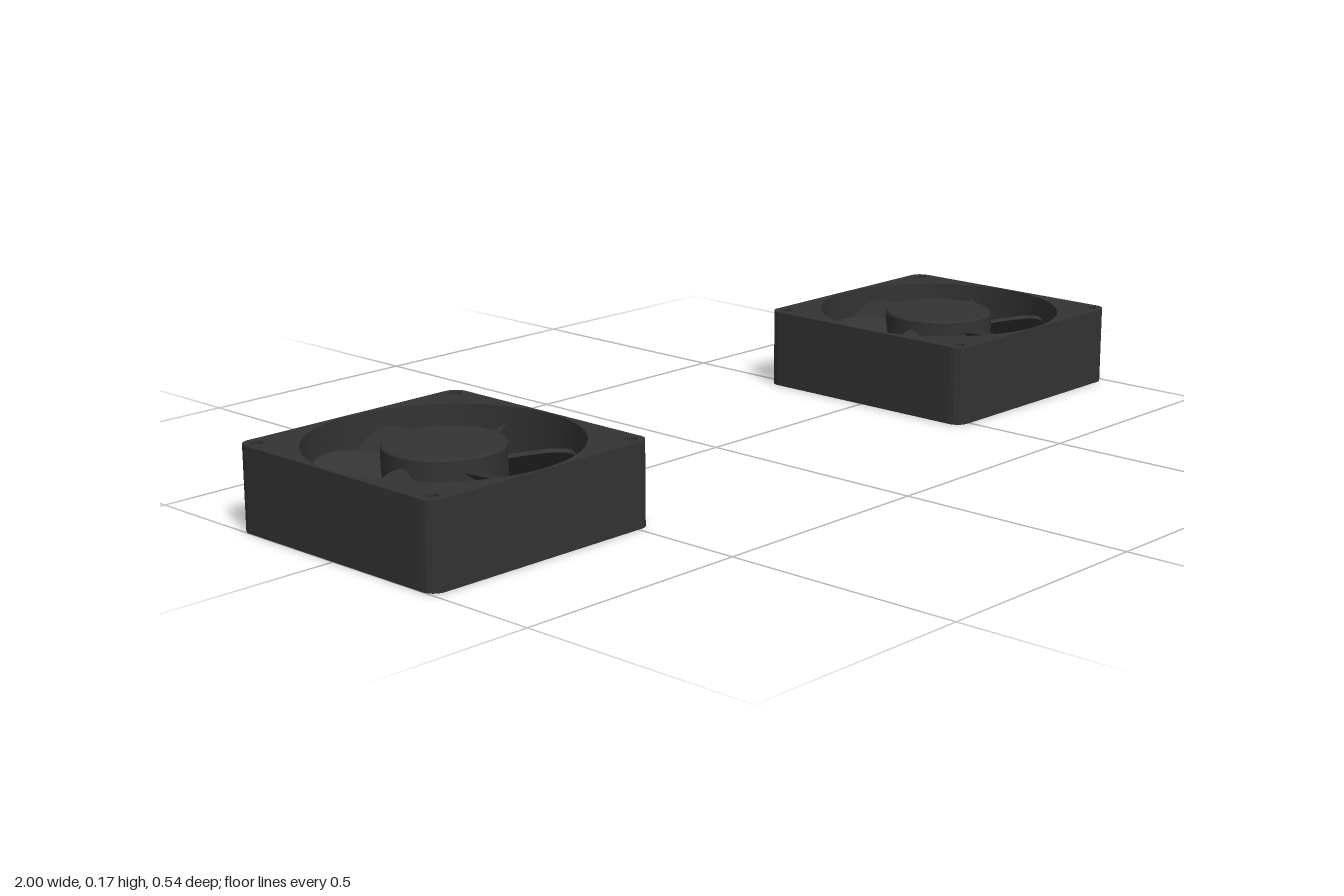
import * as THREE from 'three';
import { toCreasedNormals } from 'three/addons/utils/BufferGeometryUtils.js';

const HALF = 0.2675, HEIGHT = 0.167, BORE = 0.262, HUB = 0.117;
const BLADE_TILT = 0.68;

const plastic = new THREE.MeshStandardMaterial({ color: 0x333333 });

function part(name, geometry) {
  const mesh = new THREE.Mesh(geometry, plastic);
  mesh.name = name;
  return mesh;
}

// Extrudes a plan-view outline (shape y points to -z) upwards from y = 0
function extrudeUp(shape, depth, curveSegments) {
  const g = new THREE.ExtrudeGeometry(shape, { depth, bevelEnabled: false, curveSegments });
  g.rotateX(-Math.PI / 2);
  return toCreasedNormals(g, 0.6);
}

// Square housing with rounded corners, round duct and four screw holes
function frameGeometry() {
  const s = new THREE.Shape(), r = 0.028, c = HALF - r;
  s.absarc(c, c, r, 0, Math.PI / 2);
  s.absarc(-c, c, r, Math.PI / 2, Math.PI);
  s.absarc(-c, -c, r, Math.PI, Math.PI * 1.5);
  s.absarc(c, -c, r, Math.PI * 1.5, Math.PI * 2);
  s.closePath();
  const hole = (x, y, radius) => s.holes.push(new THREE.Path().absarc(x, y, radius, 0, Math.PI * 2, true));
  hole(0, 0, BORE);
  for (const x of [-1, 1]) for (const y of [-1, 1]) hole(x * 0.241, y * 0.241, 0.0125);
  return extrudeUp(s, HEIGHT, 32);
}

// Pitched blade: straight low edge, bulging high edge with a rounded tip
function bladeGeometry() {
  const stretch = 1 / Math.cos(BLADE_TILT);
  const w = 0.053 * stretch;
  const s = new THREE.Shape();
  s.moveTo(-w, 0.085);
  s.lineTo(w * 0.75, 0.085);
  s.quadraticCurveTo(w, 0.14, w, 0.185);
  s.bezierCurveTo(w, 0.22, w * 0.75, 0.243, w * 0.3, 0.243);
  s.lineTo(-w, 0.24);
  s.closePath();
  const g = extrudeUp(s, 0.008, 10);
  g.translate(0, -0.004, 0);
  g.rotateZ(BLADE_TILT);
  g.translate(0, 0.104, 0);
  return g;
}

// Turned solid from [radius, height] points with crisp edges
function turned(points) {
  const g = new THREE.LatheGeometry(points.map(([x, y]) => new THREE.Vector2(x, y)), 64);
  return toCreasedNormals(g, 0.6);
}

function createFan(geo) {
  const fan = new THREE.Group();
  fan.add(part('frame', geo.frame), part('motorBase', geo.base));

  // Four diagonal struts carry the motor base
  for (let i = 0; i < 4; i++) {
    const strut = part('strut', geo.strut);
    strut.rotation.y = Math.PI / 4 + i * Math.PI / 2;
    fan.add(strut);
  }

  // Hub and six blades
  const rotor = new THREE.Group();
  rotor.name = 'rotor';
  rotor.add(part('hub', geo.hub));
  for (let i = 0; i < 6; i++) {
    const blade = part('blade', geo.blade);
    blade.rotation.y = i * Math.PI / 3;
    rotor.add(blade);
  }
  fan.add(rotor);
  return fan;
}

export function createModel() {
  const model = new THREE.Group();
  model.name = 'coolingFans';

  const strut = new THREE.BoxGeometry(0.165, 0.025, 0.014);
  strut.translate(0.182, 0.0135, 0);
  const geo = {
    frame: frameGeometry(),
    blade: bladeGeometry(),
    strut,
    // Motor base with a narrow neck that leaves a gap below the hub
    base: turned([[0, 0], [HUB, 0], [HUB, 0.036], [0.1, 0.036], [0.1, 0.05], [0, 0.05]]),
    hub: turned([[0, 0.046], [HUB, 0.046], [HUB, HEIGHT - 0.006], [HUB - 0.004, HEIGHT - 0.002], [0, HEIGHT - 0.002]]),
  };

  for (const side of [-1, 1]) {
    const fan = createFan(geo);
    fan.name = side > 0 ? 'leftFan' : 'rightFan';
    fan.position.x = side * (1 - HALF);
    model.add(fan);
  }
  return model;
}
